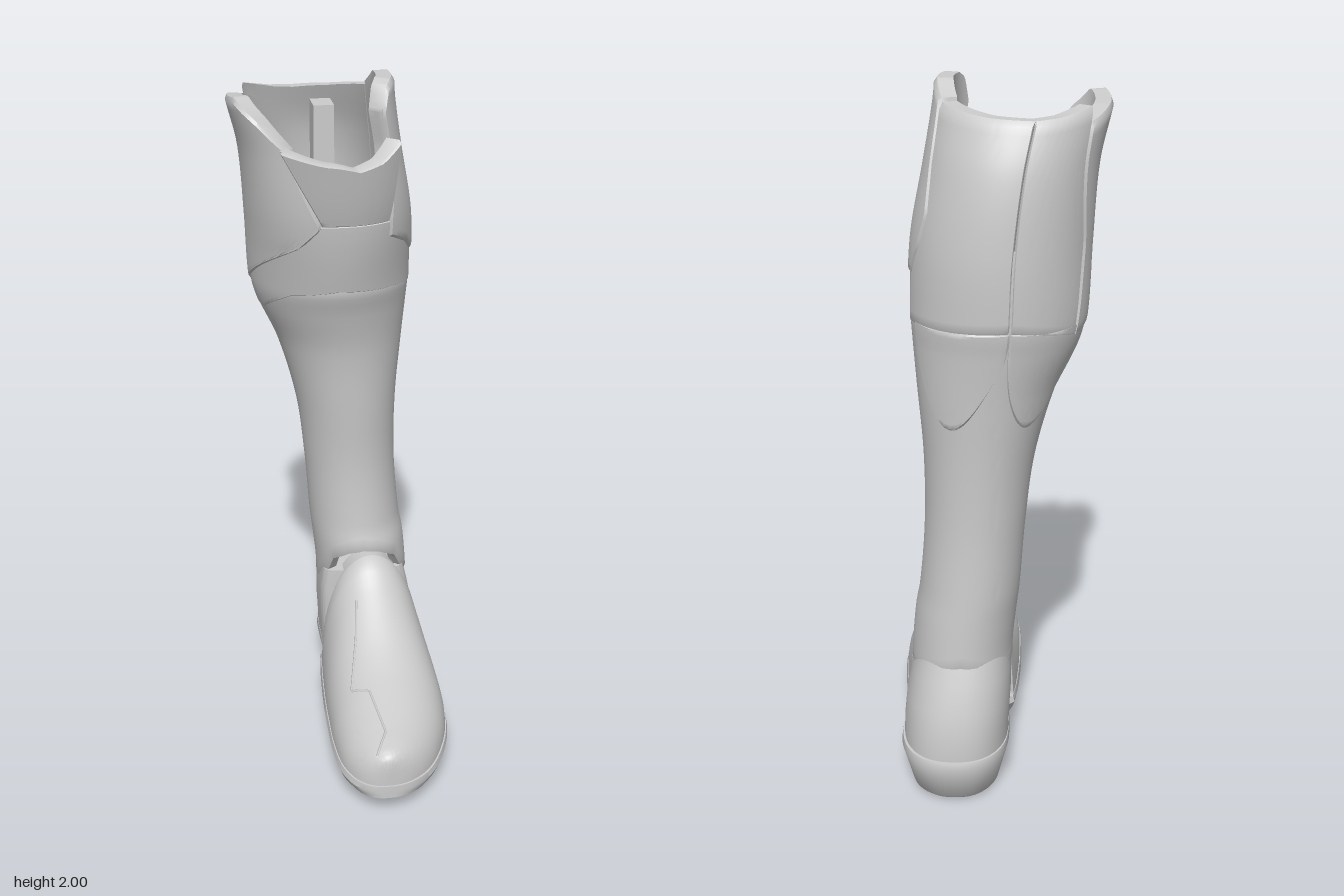
import * as THREE from 'three';
import { toCreasedNormals } from 'three/addons/utils/BufferGeometryUtils.js';

const lerp = THREE.MathUtils.lerp;

// Table lookup: rows of [key, ...values]; straight or smooth between rows
function look(rows, k, smooth = false) {
  const n = rows.length;
  if (k <= rows[0][0]) return rows[0].slice(1);
  if (k >= rows[n - 1][0]) return rows[n - 1].slice(1);
  let i = 0;
  while (k > rows[i + 1][0]) i++;
  const a = rows[i], b = rows[i + 1], p = rows[Math.max(i - 1, 0)], q = rows[Math.min(i + 2, n - 1)];
  const h = b[0] - a[0], t = (k - a[0]) / h;
  return a.slice(1).map((v, j) => {
    const w = b[j + 1];
    if (!smooth) return lerp(v, w, t);
    const m0 = (w - p[j + 1]) / (b[0] - p[0]) * h, m1 = (q[j + 1] - v) / (q[0] - a[0]) * h;
    const t2 = t * t, t3 = t2 * t;
    return (2 * t3 - 3 * t2 + 1) * v + (t3 - 2 * t2 + t) * m0 + (3 * t2 - 2 * t3) * w + (t3 - t2) * m1;
  });
}
const line = (...rows) => k => look(rows, k)[0];

// Skin a list of closed rings; optionally wrap round or cap both ends
function loft(rings, { wrap = false, caps = true, crease = 0.7 } = {}) {
  const n = rings[0].length, pos = [], idx = [];
  rings.forEach(r => r.forEach(p => pos.push(p.x, p.y, p.z)));
  const count = wrap ? rings.length : rings.length - 1;
  for (let i = 0; i < count; i++) {
    const i2 = (i + 1) % rings.length;
    for (let j = 0; j < n; j++) {
      const k = (j + 1) % n, a = i * n + j, b = i * n + k, c = i2 * n + k, d = i2 * n + j;
      idx.push(a, b, c, a, c, d);
    }
  }
  if (caps && !wrap) [0, rings.length - 1].forEach((r, e) => {
    const c = new THREE.Vector3();
    rings[r].forEach(p => c.addScaledVector(p, 1 / n));
    const m = pos.length / 3;
    pos.push(c.x, c.y, c.z);
    for (let j = 0; j < n; j++) {
      const a = r * n + j, b = r * n + (j + 1) % n;
      if (e) idx.push(m, a, b); else idx.push(m, b, a);
    }
  });
  // Turn the faces outward if the enclosed volume is negative
  const v = i => new THREE.Vector3().fromArray(pos, i * 3);
  let vol = 0;
  for (let i = 0; i < idx.length; i += 3) vol += v(idx[i]).dot(v(idx[i + 1]).cross(v(idx[i + 2])));
  if (vol < 0) idx.reverse();
  const g = new THREE.BufferGeometry();
  g.setAttribute('position', new THREE.Float32BufferAttribute(pos, 3));
  g.setIndex(idx);
  return toCreasedNormals(g, crease);
}

// Leg outline by height: y, xMin, xMax, zFront, zBack
const LEG = [
  [0.3, -0.055, 0.25, -0.085, -0.46], [0.4, -0.05, 0.247, -0.082, -0.455], [0.53, -0.062, 0.235, -0.085, -0.45],
  [0.6, -0.07, 0.222, -0.1, -0.447], [0.8, -0.085, 0.205, -0.11, -0.44], [1.0, -0.11, 0.205, -0.096, -0.445],
  [1.2, -0.165, 0.22, -0.075, -0.46], [1.33, -0.222, 0.23, -0.04, -0.475], [1.4, -0.24, 0.234, -0.015, -0.485],
  [1.6, -0.25, 0.225, 0.03, -0.488], [1.8, -0.265, 0.188, 0.045, -0.465], [1.95, -0.3, 0.163, 0.05, -0.41],
  [2.02, -0.305, 0.158, 0.05, -0.385]];

// Point on the leg at an angle from the front (toward +x), sunk by depth d
function legPoint(deg, y, d) {
  const [xl, xr, zf, zb] = look(LEG, y, true);
  const a = deg * Math.PI / 180, s = Math.sin(a), c = Math.cos(a);
  const e = c > 0 ? 2 / (2 + 0.6 * THREE.MathUtils.smoothstep(y, 1.4, 1.8)) : 1;
  const f = t => Math.sign(t) * Math.abs(t) ** e;
  return new THREE.Vector3((xl + xr) / 2 + ((xr - xl) / 2 - d) * f(s), y, (zf + zb) / 2 + ((zf - zb) / 2 - d) * f(c));
}

// Curved plate with thickness and eased edges; L/R give angles by y, bottom/top give y by u
function plate({ L, R, bottom, top, thick = 0.05, sink = () => 0, full = false, nu = 24, nv = 24, bevel = 0.008 }) {
  const steps = (n, e) => [0, e, ...Array.from({ length: n - 1 }, (_, i) => lerp(e, 1 - e, (i + 1) / n)), 1 - e, 1];
  const us = full ? Array.from({ length: nu }, (_, i) => i / nu) : steps(nu, 0.02);
  const vs = steps(nv, 0.025);
  const ring = (u, mid) => {
    const at = (v, inner) => {
      const y = lerp(bottom(u), top(u), v);
      const edge = v === 0 || v === 1 || (!full && (u === 0 || u === 1));
      const d = mid ? thick / 2 : inner ? thick : edge ? bevel : 0;
      return legPoint(lerp(L(y), R(y), u), y, d + sink(y));
    };
    return [...vs.map(v => at(v, false)), ...[...vs].reverse().map(v => at(v, true))];
  };
  const rings = us.map(u => ring(u, false));
  if (!full) { rings.unshift(ring(0, true)); rings.push(ring(1, true)); }
  return loft(rings, { wrap: full, caps: false });
}

// Horizontal ring, flat toward the front and round at the back
function heelRing([y, xl, xr, zf, zb]) {
  return Array.from({ length: 56 }, (_, i) => {
    const a = i / 56 * Math.PI * 2, s = Math.sin(a), c = Math.cos(a);
    const f = (t, e) => Math.sign(t) * Math.abs(t) ** e, mid = lerp(zf, zb, 0.4);
    const e = c > 0 ? 0.3 : 0.85;
    return new THREE.Vector3((xl + xr) / 2 + (xr - xl) / 2 * f(s, e), y, mid + (c > 0 ? zf - mid : mid - zb) * f(c, e));
  });
}

// Front foot by length: z, xMin, xMax, sole line, top
const FOOT = [
  [-0.13, -0.045, 0.268, 0.14, 0.5], [-0.1, -0.05, 0.27, 0.135, 0.49], [-0.04, -0.055, 0.28, 0.125, 0.435],
  [0.1, -0.062, 0.293, 0.115, 0.34], [0.2, -0.063, 0.293, 0.11, 0.29], [0.3, -0.062, 0.275, 0.107, 0.255],
  [0.4, -0.05, 0.234, 0.103, 0.225], [0.46, -0.025, 0.192, 0.1, 0.21], [0.495, 0.005, 0.148, 0.1, 0.198],
  [0.511, 0.035, 0.11, 0.1, 0.182], [0.515, 0.055, 0.085, 0.1, 0.16]];
const BOTTOM = [[-0.15, 0.105], [-0.11, 0.055], [-0.05, 0.028], [0.2, 0.035], [0.4, 0.045], [0.51, 0.06]];
const zSteps = (a, b, n) => Array.from({ length: n + 1 }, (_, i) => lerp(a, b, Math.sin(i / n * Math.PI / 2)));

function footRing(z, inset = 0, zAt = z) {
  const [xl, xr, y0, y1] = look(FOOT, z, true);
  return Array.from({ length: 33 }, (_, i) => {
    const a = i / 32 * Math.PI;
    return new THREE.Vector3((xl + xr) / 2 - ((xr - xl) / 2 - inset) * Math.cos(a),
      y0 - 0.01 + (y1 - y0 + 0.01 - inset) * Math.sin(a) ** 0.9, zAt);
  });
}
function soleRing(z) {
  const [xl, xr, y0] = look(FOOT, z, true), [yb] = look(BOTTOM, z);
  const w = (xr - xl) / 2 + 0.006, c = (xl + xr) / 2, low = w * 0.84;
  return [[-w, y0 - 0.018], [-w + 0.004, y0], [w - 0.004, y0], [w, y0 - 0.018], [lerp(w, low, 0.4), lerp(yb, y0, 0.3)],
    [low, yb], [-low, yb], [-lerp(w, low, 0.4), lerp(yb, y0, 0.3)]].map(([x, y]) => new THREE.Vector3(c + x, y, z + 0.005));
}

export function createModel() {
  const boot = new THREE.Group();
  boot.name = 'boot';
  const mat = new THREE.MeshStandardMaterial({ color: 0xcccccc });
  const add = (name, geo) => {
    const m = new THREE.Mesh(geo, mat);
    m.name = name;
    boot.add(m);
    return m;
  };
  const to = v => () => v;

  // Shaft with a hem dipping at the sides, and the cuff round the calf
  const hem = line([0, 0.53], [20, 0.52], [45, 0.485], [60, 0.42], [87, 0.355], [112, 0.342], [144, 0.372], [180, 0.4]);
  add('shaft', plate({ L: to(0), R: to(360), bottom: u => hem(180 - Math.abs(u * 360 - 180)), top: to(1.43),
    sink: to(0.004), thick: 0.04, full: true, nu: 72, nv: 40 }));
  const cuffEdge = line([0, 1.41], [45, 1.4], [90, 1.378], [130, 1.375], [180, 1.39], [225, 1.36], [270, 1.315], [290, 1.32], [325, 1.39], [360, 1.41]);
  add('cuff', plate({ L: to(0), R: to(360), bottom: u => cuffEdge(u * 360), top: to(1.62), sink: to(0.002), full: true, nu: 72 }));

  // Upper plates share the angles of their seams
  const frontRight = line([1.55, 36], [1.62, 37], [1.83, 46], [1.97, 46]);
  const sideBack = line([1.51, 106], [1.6, 118], [1.68, 123], [1.8, 117], [1.95, 114]);
  const rear = to(189);
  const otherBack = line([1.36, 240], [1.6, 243], [1.8, 235], [1.93, 230]);
  const frontLeft = line([1.4, 300], [1.55, 350], [1.62, 352], [1.83, 337]);
  add('frontPlate', plate({ L: y => frontLeft(y) - 360, R: frontRight, bottom: to(1.615),
    top: line([0, 1.84], [0.3, 1.8], [0.5, 1.78], [0.75, 1.8], [1, 1.85]), sink: y => -0.04 * Math.max(0, y - 1.62) / 0.2 }));
  add('leftPlate', plate({ L: frontRight, R: sideBack, bottom: line([0, 1.57], [0.3, 1.53], [0.5, 1.49], [0.8, 1.51], [1, 1.51]),
    top: line([0, 1.92], [0.15, 1.985], [0.3, 2], [0.75, 2], [1, 1.96]), sink: to(-0.004) }));
  const backTop = line([0, 1.95], [0.6, 1.93], [1, 1.925]);
  add('rearLeftPlate', plate({ L: sideBack, R: rear, bottom: line([0, 1.38], [1, 1.395]), top: backTop, sink: to(-0.002) }));
  add('rearRightPlate', plate({ L: rear, R: otherBack, bottom: line([0, 1.395], [1, 1.355]), top: u => backTop(1 - u), sink: to(-0.002) }));
  add('rightPlate', plate({ L: otherBack, R: frontLeft, bottom: line([0, 1.355], [0.35, 1.37], [0.6, 1.42], [1, 1.61]),
    top: line([0, 1.91], [0.25, 1.94], [0.6, 1.96], [0.8, 1.91], [1, 1.83]), sink: to(-0.004) }));

  // Two rounded calf flaps below the rear plates
  [[115, 189], [189, 258]].forEach(([a, b], i) => add(i ? 'calfFlapRight' : 'calfFlapLeft', plate({ L: to(a), R: to(b),
    bottom: u => 1.36 - 0.24 * Math.sin(Math.PI * u) ** 0.6, top: to(1.4), thick: 0.03, sink: to(-0.002), bevel: 0.005 })));

  // Pull tab inside the back of the opening
  add('pullTab', new THREE.BoxGeometry(0.06, 0.22, 0.1)).position.set(-0.015, 1.78, -0.32);

  // Foot, gusset and sole
  add('vamp', loft([footRing(-0.13, 0.012), ...zSteps(-0.125, 0.515, 40).map(z => footRing(z))]));
  add('gusset', loft([-0.2, -0.17, -0.12].map(z => footRing(-0.13, 0.012, z))));
  add('sole', loft([-0.15, -0.13, -0.11, -0.08, ...zSteps(-0.05, 0.515, 32)].map(soleRing), { crease: 0.5 }));

  // Zigzag seam over the toe
  const seam = [[0.05, -0.02], [0.035, 0.08], [0, 0.235], [0.05, 0.265], [0.075, 0.42], [0.04, 0.49]];
  const path = new THREE.CurvePath();
  const onFoot = (x, z) => {
    const [xl, xr, y0, y1] = look(FOOT, z, true), t = (2 * x - xl - xr) / (xr - xl);
    return new THREE.Vector3(x, y0 - 0.01 + (y1 - y0 + 0.01) * Math.max(0, 1 - t * t) ** 0.45 - 0.001, z);
  };
  for (let i = 0; i < seam.length - 1; i++) for (let j = 0; j < 5; j++) {
    const p = t => onFoot(lerp(seam[i][0], seam[i + 1][0], t), lerp(seam[i][1], seam[i + 1][1], t));
    path.add(new THREE.LineCurve3(p(j / 5), p((j + 1) / 5)));
  }
  add('toeSeam', new THREE.TubeGeometry(path, 80, 0.004, 6));

  // Heel counter and block: y, xMin, xMax, zFront, zBack
  add('heelCounter', loft([[0.14, -0.035, 0.268, -0.165, -0.505], [0.2, -0.037, 0.266, -0.165, -0.505],
    [0.28, -0.042, 0.258, -0.163, -0.49], [0.36, -0.042, 0.242, -0.16, -0.465], [0.43, -0.035, 0.225, -0.16, -0.44]].map(heelRing)));
  add('heelBlock', loft([[0, 0.0, 0.235, -0.205, -0.465], [0.012, -0.01, 0.247, -0.198, -0.478],
    [0.125, -0.038, 0.275, -0.183, -0.518], [0.145, -0.036, 0.272, -0.18, -0.512]].map(heelRing)));
  return boot;
}
